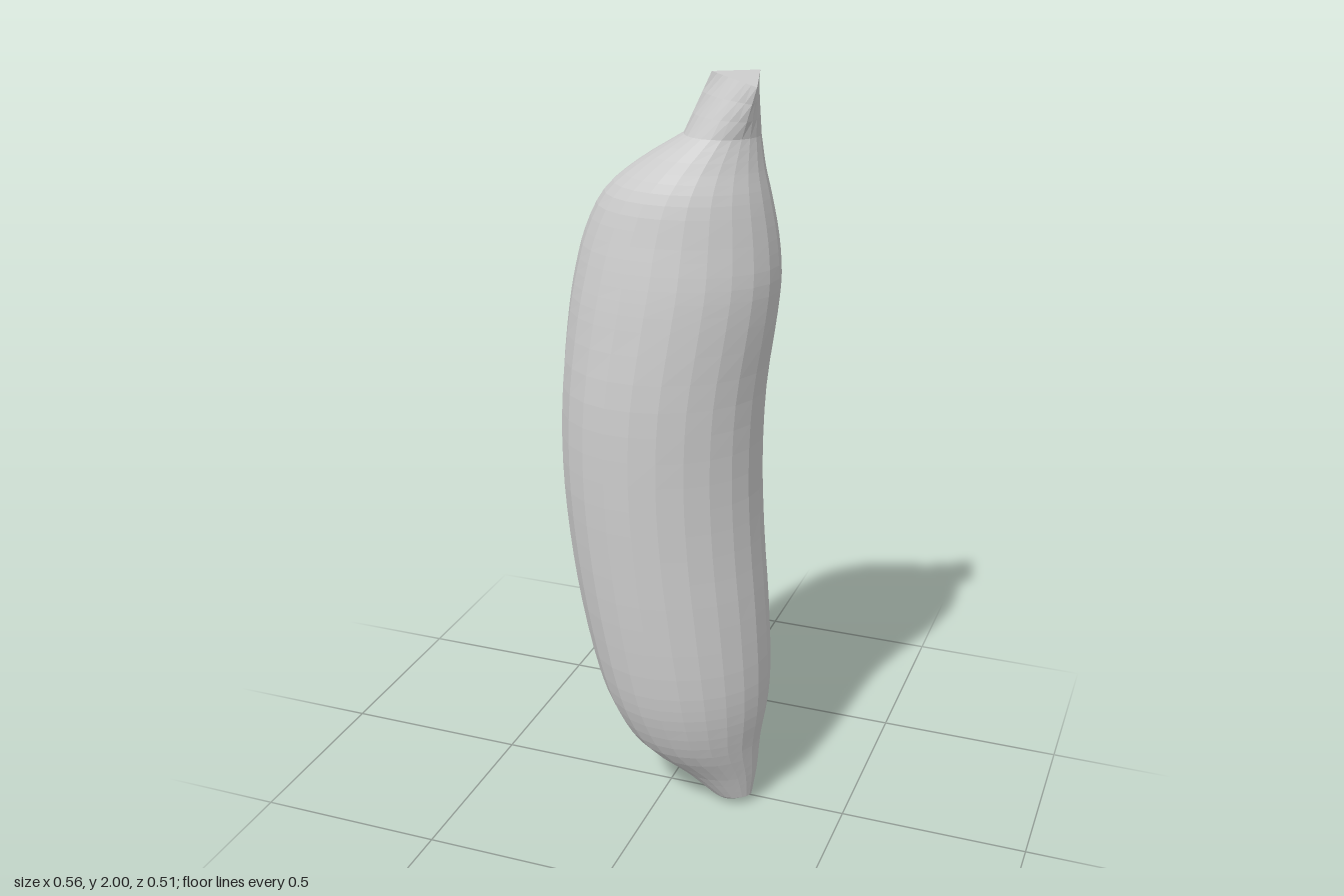
import * as THREE from 'three';

const SIDES = 24;
const material = new THREE.MeshStandardMaterial({ color: 0xcccccc, flatShading: true });

// Outline stations: height, then x and z extents of the section
const STATIONS = [
  [0.025, 0.13, 0.246, -0.02, 0.072],
  [0.1, 0.04, 0.256, -0.07, 0.115],
  [0.2, -0.085, 0.262, -0.14, 0.185],
  [0.3, -0.15, 0.276, -0.188, 0.222],
  [0.4, -0.188, 0.28, -0.213, 0.24],
  [0.6, -0.236, 0.268, -0.235, 0.252],
  [0.8, -0.267, 0.25, -0.246, 0.256],
  [1.0, -0.283, 0.24, -0.252, 0.256],
  [1.2, -0.28, 0.246, -0.248, 0.249],
  [1.4, -0.262, 0.272, -0.23, 0.226],
  [1.5, -0.245, 0.28, -0.216, 0.21],
  [1.6, -0.218, 0.272, -0.195, 0.19],
  [1.7, -0.165, 0.255, -0.158, 0.168],
  [1.77, -0.085, 0.24, -0.12, 0.138],
  [1.85, 0.04, 0.228, -0.078, 0.098],
];

// Egg-shaped section, narrower on the inner (+x) side
function section([y, x0, x1, z0, z1]) {
  return Array.from({ length: SIDES }, (_, i) => {
    const a = (i / SIDES) * Math.PI * 2;
    const c = Math.cos(a), s = Math.sin(a);
    return new THREE.Vector3(
      (x0 + x1) / 2 + ((x1 - x0) / 2) * c, y,
      (z0 + z1) / 2 + ((z1 - z0) / 2) * s * (1 - 0.1 * c));
  });
}

// Skin rings listed from bottom to top, with optional fan caps
function loft(name, rings, bottom, top) {
  const points = rings.flat(), index = [];
  const last = (rings.length - 1) * SIDES;
  for (let r = 0; r < last; r += SIDES) {
    for (let i = 0; i < SIDES; i++) {
      const j = (i + 1) % SIDES;
      index.push(r + i, r + SIDES + i, r + j, r + j, r + SIDES + i, r + SIDES + j);
    }
  }
  for (let i = 0; i < SIDES; i++) {
    const j = (i + 1) % SIDES;
    if (bottom) index.push(points.length, i, j);
    if (top) index.push(points.length, last + j, last + i);
  }
  if (bottom || top) points.push(bottom || top);
  const geometry = new THREE.BufferGeometry().setFromPoints(points);
  geometry.setIndex(index);
  geometry.computeVertexNormals();
  const mesh = new THREE.Mesh(geometry, material);
  mesh.name = name;
  return mesh;
}

export function createModel() {
  const group = new THREE.Group();
  group.name = 'banana';

  // Curved fruit body: smooth interpolation between the stations
  const extents = (a, b) => new THREE.CatmullRomCurve3(
    STATIONS.map((s) => new THREE.Vector3(s[0], s[a], s[b])), false, 'centripetal');
  const xCurve = extents(1, 2), zCurve = extents(3, 4);
  const rings = [];
  const steps = (STATIONS.length - 1) * 3;
  for (let k = 0; k <= steps; k++) {
    const px = xCurve.getPoint(k / steps), pz = zCurve.getPoint(k / steps);
    rings.push(section([px.x, px.y, px.z, pz.y, pz.z]));
  }
  group.add(loft('body', rings));

  // Blunt blossom tip closing the lower end
  group.add(loft('blossomTip', [section([0.018, 0.145, 0.23, -0.017, 0.066]), rings[0]],
    new THREE.Vector3(0.17, 0, 0)));

  // Stem: section morphs into a slanted three-cornered cut
  const corners = [
    new THREE.Vector3(0.238, 1.975, 0.075),
    new THREE.Vector3(0.115, 2, 0.04),
    new THREE.Vector3(0.207, 1.995, -0.047),
  ];
  const cut = Array.from({ length: SIDES }, (_, i) => {
    const t = (((i - 3 + SIDES) % SIDES) * 3) / SIDES;
    const e = Math.floor(t);
    return corners[e].clone().lerp(corners[(e + 1) % 3], t - e);
  });
  const base = rings[rings.length - 1];
  const stemRings = [0, 0.33, 0.67, 1].map((t) => base.map((p, i) => p.clone().lerp(cut[i], t)));
  const centre = corners.reduce((sum, c) => sum.add(c), new THREE.Vector3()).divideScalar(3);
  group.add(loft('stem', stemRings, null, centre));

  return group;
}
